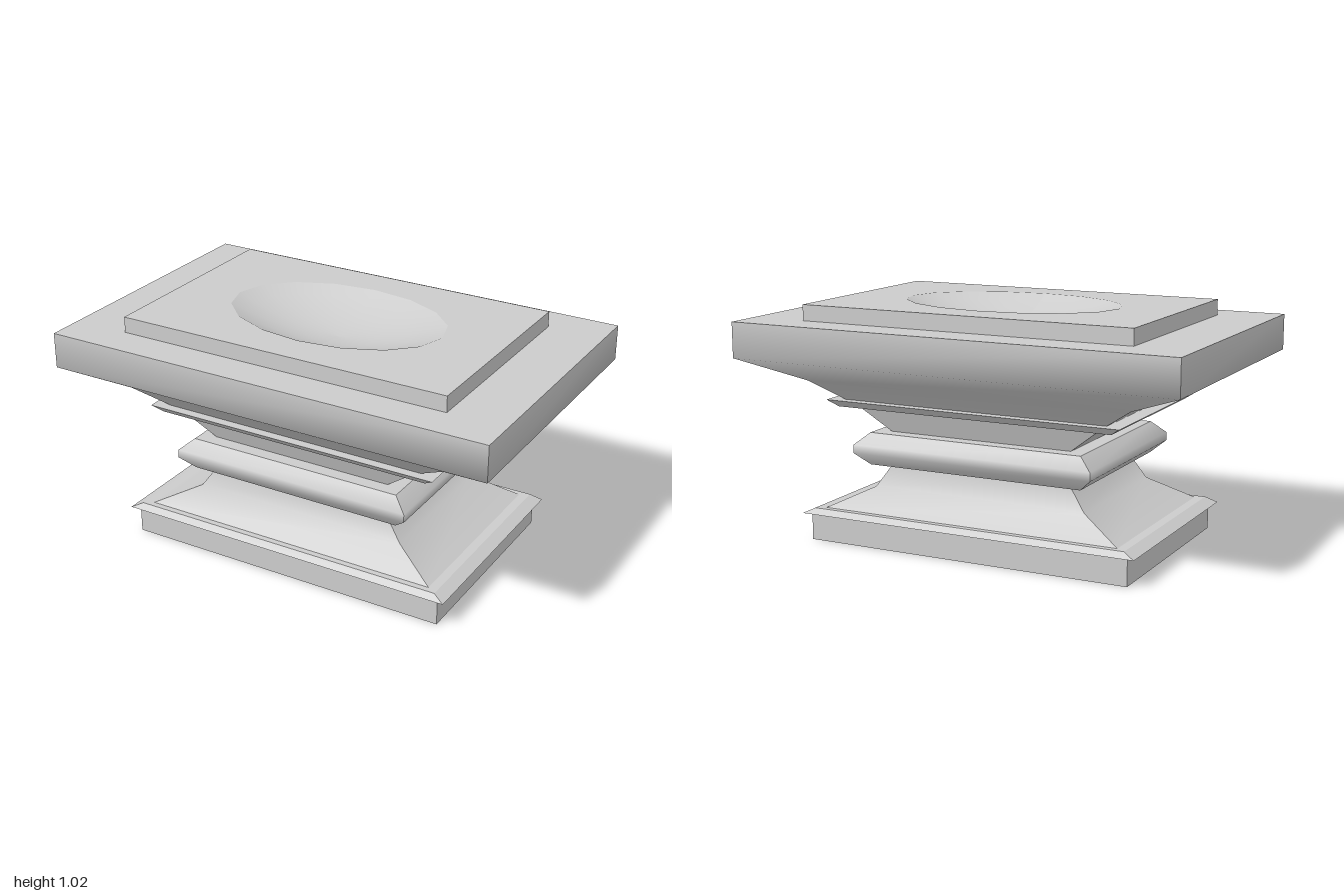
import * as THREE from 'three';
import { mergeGeometries } from 'three/addons/utils/BufferGeometryUtils.js';

const material = new THREE.MeshStandardMaterial({ color: 0xcccccc });
const CORNERS = [[1, 1], [1, -1], [-1, -1], [-1, 1]];

function indexed(positions, index) {
  const g = new THREE.BufferGeometry();
  g.setAttribute('position', new THREE.Float32BufferAttribute(positions, 3));
  g.setIndex(index);
  g.computeVertexNormals();
  return g;
}

// Rectangular moulding from sections [halfWidth, halfDepth, y], listed bottom to top.
// Each side is smooth along its profile, with sharp mitred corners.
function moulding(sections, { top = true, bottom = true } = {}) {
  const corner = ([x, z, y], i) => [x * CORNERS[i % 4][0], y, z * CORNERS[i % 4][1]];
  const parts = [];
  for (let side = 0; side < 4; side++) {
    const pos = [], idx = [];
    sections.forEach((s, k) => {
      pos.push(...corner(s, side), ...corner(s, side + 1));
      if (k > 0) {
        const a = 2 * (k - 1);
        idx.push(a, a + 1, a + 3, a, a + 3, a + 2);
      }
    });
    parts.push(indexed(pos, idx));
  }
  const cap = (s, idx) => parts.push(indexed([0, 1, 2, 3].flatMap(i => corner(s, i)), idx));
  if (top) cap(sections[sections.length - 1], [0, 1, 2, 0, 2, 3]);
  if (bottom) cap(sections[0], [0, 2, 1, 0, 3, 2]);
  return mergeGeometries(parts);
}

export function createModel() {
  const model = new THREE.Group();
  const add = (name, geometry, mat = material) => {
    const mesh = new THREE.Mesh(geometry, mat);
    mesh.name = name;
    model.add(mesh);
    return mesh;
  };

  // Foot and lower pedestal
  add('plinth', moulding([[0.735, 0.468, 0], [0.735, 0.468, 0.12]]));
  add('plinthLip', moulding([[0.77, 0.49, 0.118], [0.72, 0.467, 0.142]]));
  add('lowerBody', moulding([[0.68, 0.44, 0.142], [0.49, 0.335, 0.235], [0.415, 0.315, 0.34]]));

  // Waist
  add('waistBand', moulding([
    [0.49, 0.375, 0.34], [0.55, 0.418, 0.392], [0.55, 0.418, 0.428], [0.49, 0.375, 0.48],
  ]));
  add('neck', moulding([[0.42, 0.315, 0.48], [0.56, 0.355, 0.585]]));
  add('neckLip', moulding([[0.63, 0.4, 0.585], [0.675, 0.427, 0.615]]));

  // Flaring upper block with its flat border
  add('cornice', moulding([
    [0.605, 0.385, 0.615], [0.74, 0.47, 0.7], [1, 0.635, 0.8], [1, 0.635, 0.955],
  ], { top: false }));
  add('corniceBorder', moulding([[1, 0.635, 0.955], [0.75, 0.475, 0.955]], { top: false, bottom: false }));

  // Top plate with an oval opening
  const topY = 1.024, rx = 0.49, rz = 0.318, segments = 16;
  add('plateEdge', moulding([[0.75, 0.475, 0.955], [0.75, 0.475, topY]], { top: false, bottom: false }));
  const shape = new THREE.Shape(CORNERS.map(([x, z]) => new THREE.Vector2(0.75 * x, 0.475 * z)));
  const rim = [];
  for (let i = 0; i < segments; i++) {
    const a = (i / segments) * Math.PI * 2;
    rim.push(new THREE.Vector2(rx * Math.cos(a), rz * Math.sin(a)));
  }
  shape.holes.push(new THREE.Path(rim));
  add('plateTop', new THREE.ShapeGeometry(shape).rotateX(-Math.PI / 2).translate(0, topY, 0));

  // Shallow oval bowl
  const depth = 0.1, profile = [];
  for (let i = 0; i <= 6; i++) {
    const r = i / 6;
    profile.push(new THREE.Vector2(r, depth * (r * r - 1)));
  }
  const bowlMaterial = material.clone();
  bowlMaterial.side = THREE.DoubleSide;
  const bowl = new THREE.LatheGeometry(profile, segments).scale(rx, 1, rz).translate(0, topY, 0);
  bowl.computeVertexNormals();
  add('bowl', bowl, bowlMaterial);

  return model;
}
